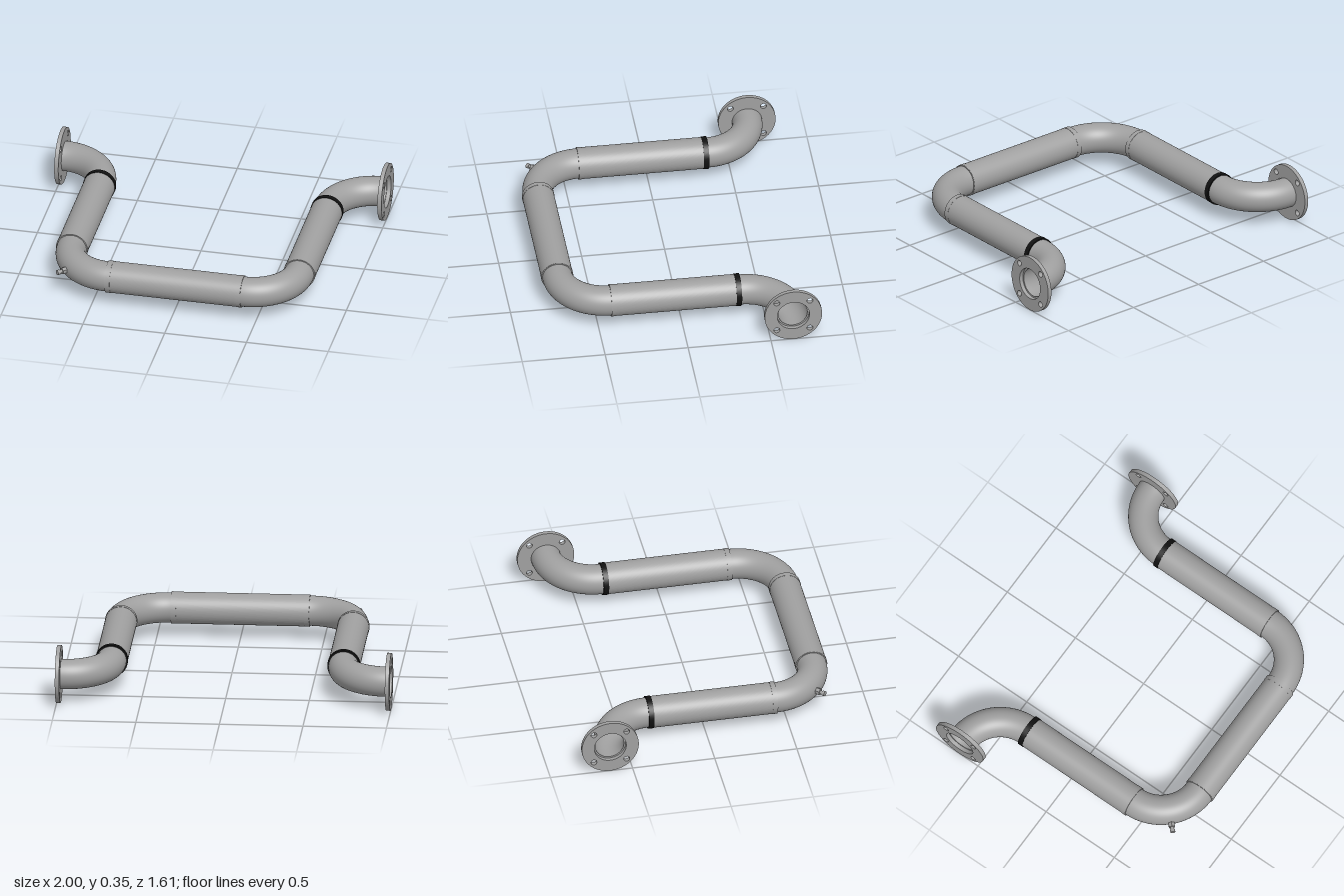
import * as THREE from 'three';

const Y = 0.173;          // height of the pipe axis
const PIPE_R = 0.09, SLEEVE_R = 0.095, BORE_R = 0.097;
const LEG_X = 0.695, FRONT_Z = 0.705, END_Z = -0.635;
const BEND = 0.28;        // bend radius of every elbow
const CORNER_X = LEG_X - BEND, CORNER_Z = FRONT_Z - BEND;

export function createModel() {
  const steel = new THREE.MeshStandardMaterial({ color: 0xa0a0a0 });
  const steelOpen = new THREE.MeshStandardMaterial({ color: 0xa0a0a0, side: THREE.DoubleSide });
  steel.name = 'steel';
  steelOpen.name = 'steel open';
  const black = new THREE.MeshStandardMaterial({ color: 0x111111 });
  black.name = 'black seal';

  const model = new THREE.Group();
  model.name = 'pipeAssembly';

  function add(name, geometry, material, x, y, z, turn = 0) {
    const mesh = new THREE.Mesh(geometry, material);
    mesh.name = name;
    mesh.position.set(x, y, z);
    mesh.rotation.y = turn;
    model.add(mesh);
    return mesh;
  }

  // Hollow straight pipe section along z, with square-edged ends
  function hollow(radius, length) {
    const h = length / 2, inner = 0.085;
    const shape = new THREE.Shape().absarc(0, 0, radius, 0, Math.PI * 2);
    shape.holes.push(new THREE.Path().absarc(0, 0, inner, 0, Math.PI * 2, true));
    return new THREE.ExtrudeGeometry(shape, { depth: length, bevelEnabled: false, curveSegments: 56 })
      .translate(0, 0, -h);
  }

  // Quarter bend lying flat, in the +x +z quadrant around its centre
  const elbow = new THREE.TorusGeometry(BEND, PIPE_R, 56, 28, Math.PI / 2).rotateX(Math.PI / 2);

  // Round flange with a bore and four bolt holes, facing sideways
  const plate = new THREE.Shape().absarc(0, 0, Y, 0, Math.PI * 2);
  plate.holes.push(new THREE.Path().absarc(0, 0, BORE_R, 0, Math.PI * 2, true));
  for (let i = 0; i < 4; i++) {
    const a = Math.PI / 4 + i * Math.PI / 2;
    plate.holes.push(new THREE.Path().absarc(0.141 * Math.cos(a), 0.141 * Math.sin(a), 0.018, 0, Math.PI * 2, true));
  }
  const flange = new THREE.ExtrudeGeometry(plate, { depth: 0.025, bevelEnabled: false, curveSegments: 48 })
    .translate(0, 0, -0.0125).rotateY(Math.PI / 2);
  const seat = new THREE.RingGeometry(0.087, BORE_R + 0.002, 56).rotateY(Math.PI / 2);

  const legStart = -0.325;
  const leg = hollow(SLEEVE_R, CORNER_Z - legStart);
  const seal = hollow(0.098, 0.032);
  const collar = hollow(0.0965, 0.03);

  for (const side of [1, -1]) {
    const name = side > 0 ? 'left' : 'right';
    add(name + 'Leg', leg, steel, side * LEG_X, Y, (CORNER_Z + legStart) / 2);
    add(name + 'LegCollar', collar, steel, side * LEG_X, Y, CORNER_Z - 0.012);
    add(name + 'FrontCollar', collar, steel, side * (CORNER_X - 0.017), Y, FRONT_Z, Math.PI / 2);
    add(name + 'Seal', seal, black, side * LEG_X, Y, legStart - 0.015);
    add(name + 'CornerElbow', elbow, steelOpen, side * CORNER_X, Y, CORNER_Z, side > 0 ? 0 : -Math.PI / 2);
    add(name + 'EndElbow', elbow, steelOpen, side * (LEG_X + BEND), Y, END_Z + BEND, side > 0 ? Math.PI : Math.PI / 2);
    add(name + 'Flange', flange, steel, side * 0.9875, Y, END_Z);
    add(name + 'FlangeSeat', seat, steelOpen, side * 0.9755, Y, END_Z);
  }
  add('frontPipe', hollow(SLEEVE_R, CORNER_X * 2), steel, 0, Y, FRONT_Z, Math.PI / 2);

  // Small drain nozzle on the outside of the right front corner
  const valve = new THREE.Group();
  valve.name = 'drainNozzle';
  valve.position.set(-CORNER_X, Y, CORNER_Z);
  valve.rotation.y = -Math.PI / 4;
  const parts = [
    ['nozzleBase', 0.021, 0.355, 0.395, 6],
    ['nozzleNeck', 0.011, 0.39, 0.415, 20],
    ['nozzleTip', 0.015, 0.41, 0.428, 20],
  ];
  for (const [name, r, from, to, sides] of parts) {
    const geometry = new THREE.CylinderGeometry(r, r, to - from, sides).rotateX(Math.PI / 2);
    const mesh = new THREE.Mesh(sides === 6 ? geometry.toNonIndexed() : geometry, steel);
    if (sides === 6) mesh.geometry.computeVertexNormals();
    mesh.name = name;
    mesh.position.z = (from + to) / 2;
    valve.add(mesh);
  }
  model.add(valve);
  return model;
}
